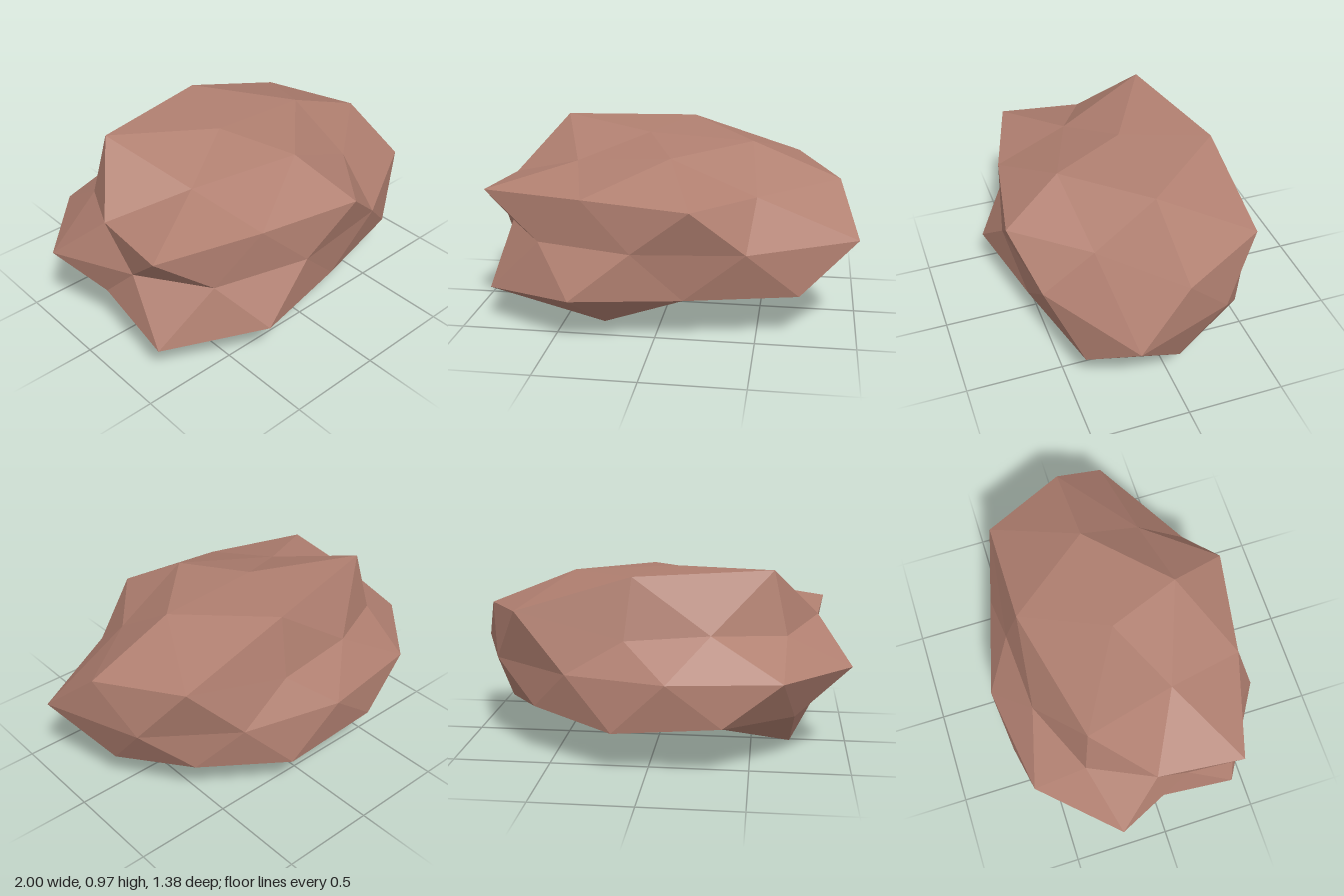
import * as THREE from 'three';
import { ConvexGeometry } from 'three/addons/geometries/ConvexGeometry.js';

// Rings of a once-subdivided icosahedron: height, first angle from +z in degrees,
// and the radius factor of each point, going round through +x.
const RINGS = [
  [1, 0, [0.94]],
  [0.8507, 18, [0.99, 1.03, 1.135, 1.18, 0.82]],
  [0.5257, 54, [0.85, 1.125, 0.78, 0.86, 0.95]],
  [0.4472, 18, [1.05, 1.115, 0.78, 0.79, 1.075]],
  [0, 0, [0.845, 0.94, 1.155, 0.966, 0.86, 0.87, 0.95, 0.95, 0.75, 0.83]],
  [-0.4472, 54, [1.12, 0.96, 0.98, 0.84, 1.08]],
  [-0.5257, 18, [0.95, 1.06, 1.01, 0.9, 1.12]],
  [-0.8507, 54, [0.78, 0.86, 0.75, 1.15, 1.08]],
  [-1, 0, [0.825]],
];
const SCALE = new THREE.Vector3(1, 0.49, 0.77);
const CENTRE = new THREE.Vector3(-0.1, 0.49, -0.02);

function rockGeometry() {
  // Unit directions with their radius factors
  const points = [];
  for (const [y, start, radii] of RINGS) {
    const ring = Math.sqrt(Math.max(0, 1 - y * y));
    radii.forEach((radius, i) => {
      const a = THREE.MathUtils.degToRad(start + (i * 360) / radii.length);
      points.push({ dir: new THREE.Vector3(Math.sin(a) * ring, y, Math.cos(a) * ring), radius });
    });
  }

  // Facet the unit sphere, then push each corner in or out and squash the whole
  const geometry = new ConvexGeometry(points.map((p) => p.dir));
  const pos = geometry.attributes.position;
  const v = new THREE.Vector3();
  for (let i = 0; i < pos.count; i++) {
    v.fromBufferAttribute(pos, i);
    const nearest = points.reduce((a, b) =>
      a.dir.distanceToSquared(v) < b.dir.distanceToSquared(v) ? a : b);
    v.multiplyScalar(nearest.radius).multiply(SCALE).add(CENTRE);
    pos.setXYZ(i, v.x, v.y, v.z);
  }
  geometry.computeVertexNormals();
  return geometry;
}

export function createModel() {
  const group = new THREE.Group();
  group.name = 'boulder';

  const stone = new THREE.MeshStandardMaterial({ color: 0xb07f70, flatShading: true });
  stone.name = 'reddish stone';

  const rock = new THREE.Mesh(rockGeometry(), stone);
  rock.name = 'rock';
  group.add(rock);
  return group;
}
